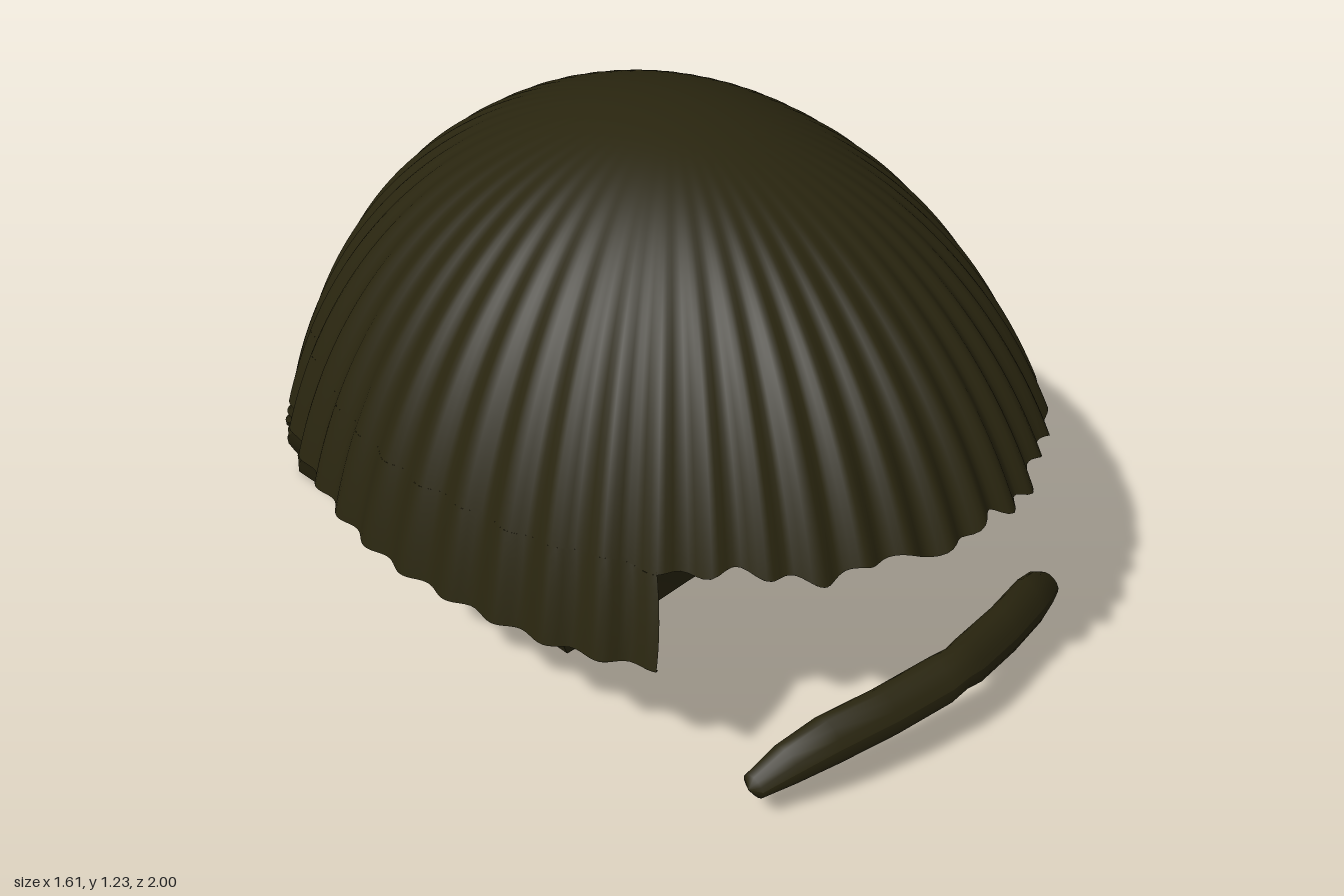
import * as THREE from 'three';

const A = 0.835, H = 1.23, B = 1.055, CZ = 0.05; // dome half-width, height, half-depth, centre z
const RIBS = 48, LEDGE = 0.38;
const { sin, cos, asin, acos, sqrt, PI } = Math;
const lerp = THREE.MathUtils.lerp;

// Point on the ribbed dome: t around from the front, p down from the crown
function dome(t, p) {
  const fade = THREE.MathUtils.smoothstep(sin(p), 0.1, 0.8);
  const r = sin(p) * (1 + fade * (0.012 * cos(RIBS * t) + 0.004 * sin(11 * t + 1)));
  return new THREE.Vector3(A * sin(t) * r, H * cos(p), CZ + B * cos(t) * r);
}
function domeNormal(t, p) {
  if (p < 0.01) return new THREE.Vector3(0, 1, 0);
  const e = 0.002;
  const dp = dome(t, p + e).sub(dome(t, p - e));
  const dt = dome(t + e, p).sub(dome(t - e, p));
  return dp.cross(dt).normalize();
}
const domeAt = (t, y) => dome(t, acos(y / H));

// Piecewise-linear lookup through [y, value] pairs
function lookup(pairs, y) {
  for (let i = 1; i < pairs.length; i++) {
    const [y0, a] = pairs[i - 1], [y1, b] = pairs[i];
    if (y <= y1 || i === pairs.length - 1) return lerp(a, b, Math.min(1, (y - y0) / (y1 - y0)));
  }
}
// Half-width of the opening and depth of its rear wall, by height
const openWidth = y => lookup([[0, 0.42], [0.1, 0.47], [0.24, 0.53], [0.33, 0.58], [0.38, 0.63], [0.6, 0.58]], y);
const wallDepth = y => lookup([[0, 0.15], [0.2, 0.2], [0.32, 0.25], [0.38, 0.3], [0.6, 0.36]], y);
const cutAngle = y => asin(openWidth(y) / (A * sqrt(1 - (y / H) ** 2)));
// Ragged lower edge of the fringe
const fringeY = t => 0.585 + Math.max(0, cos(t)) * (0.012 * sin(17 * t + 1) + 0.008 * sin(41 * t));

// Grid surface from f(u, v), returning a point or { pos, normal }
function grid(f, nu, nv) {
  const pos = [], nor = [], idx = [];
  for (let j = 0; j <= nv; j++) for (let i = 0; i <= nu; i++) {
    const q = f(i / nu, j / nv);
    pos.push(...(q.pos || q).toArray());
    if (q.normal) nor.push(...q.normal.toArray());
    if (i < nu && j < nv) {
      const a = j * (nu + 1) + i, b = a + nu + 1;
      idx.push(a, b, a + 1, a + 1, b, b + 1);
    }
  }
  const g = new THREE.BufferGeometry();
  g.setAttribute('position', new THREE.Float32BufferAttribute(pos, 3));
  g.setIndex(idx);
  if (nor.length) g.setAttribute('normal', new THREE.Float32BufferAttribute(nor, 3));
  else g.computeVertexNormals();
  return g;
}
const ruled = (a, b, n, m = 4) => grid((u, v) => a(u).lerp(b(u), v), n, m);

export function createModel() {
  const group = new THREE.Group();
  const darkOlive = new THREE.MeshStandardMaterial({ color: 0x29250f, side: THREE.DoubleSide });
  darkOlive.name = 'darkOlive';
  const add = (name, geometry) => {
    const m = new THREE.Mesh(geometry, darkOlive);
    m.name = name;
    group.add(m);
  };
  const V = (x, y, z) => new THREE.Vector3(x, y, z);
  const skin = (t, p) => ({ pos: dome(t, p), normal: domeNormal(t, p) });

  // Crown: full ring from the top down to the fringe
  add('crown', grid((u, v) => {
    const t = u * 2 * PI;
    return skin(t, v * acos(fringeY(t) / H));
  }, RIBS * 7, 40));

  // Side band, open at the front
  add('sideBand', grid((u, v) => {
    const yGuess = lerp(0.585, LEDGE, v), c = cutAngle(yGuess);
    const t = lerp(c, 2 * PI - c, u);
    return skin(t, acos(lerp(fringeY(t), LEDGE, v) / H));
  }, RIBS * 6, 8));

  // Nape: lower back between the side cuts
  add('nape', grid((u, v) => {
    const y = lerp(LEDGE, 0, v), c = cutAngle(y);
    return skin(lerp(PI - c, PI + c, u), acos(y / H));
  }, RIBS * 3, 14));

  // Uneven rear wall of the opening
  add('innerWall', grid((u, v) => {
    const y = v * 0.6, x = (u * 2 - 1) * openWidth(y);
    const edge = 1 - (u * 2 - 1) ** 2;
    return V(x, y, wallDepth(y) + 0.012 * edge * sin(x * 13 + y * 7) * sin(y * 17 + x * 4));
  }, 40, 20));

  // Underside of the fringe
  const cf = cutAngle(0.585);
  add('fringeUnderside', ruled(
    u => { const t = lerp(-cf, cf, u); return domeAt(t, fringeY(t)); },
    u => V(lerp(-1, 1, u) * openWidth(0.585), 0.585, wallDepth(0.585)), 100));

  // Flat underside of the nape
  const cb = cutAngle(0);
  add('napeUnderside', ruled(
    u => domeAt(lerp(PI - cb, PI + cb, u), 0),
    u => V(lerp(1, -1, u) * 0.42, 0, wallDepth(0)), 100));

  for (const s of [1, -1]) {
    const side = s > 0 ? 'left' : 'right';
    const cl = cutAngle(LEDGE);
    // Ledge under the side band
    add(side + 'Ledge', ruled(
      u => domeAt(s * lerp(cl, PI - cl, u), LEDGE),
      u => V(s * openWidth(LEDGE), LEDGE, domeAt(lerp(cl, PI - cl, u), LEDGE).z), 130));
    // Inner face of the lock in front of the ear
    add(side + 'LockInside', ruled(
      u => { const y = lerp(LEDGE, 0.585, u); return domeAt(s * cutAngle(y), y); },
      u => { const y = lerp(LEDGE, 0.585, u); return V(s * openWidth(y), y, wallDepth(y)); }, 8));
    // Flared side of the nape below the ledge
    add(side + 'NapeSide', ruled(
      u => { const y = u * LEDGE; return domeAt(s * (PI - cutAngle(y)), y); },
      u => { const y = u * LEDGE; return V(s * openWidth(y), y, wallDepth(y)); }, 14));
  }

  // Separate curved strip below the fringe: [x, y, z, half-height, half-depth]
  const half = [[0, 0.188, 0.945, 0.045, 0.038], [0.05, 0.182, 0.94, 0.05, 0.042], [0.2, 0.168, 0.915, 0.05, 0.042],
    [0.34, 0.152, 0.88, 0.05, 0.042], [0.43, 0.118, 0.845, 0.04, 0.038], [0.5, 0.085, 0.82, 0.024, 0.028],
    [0.513, 0.082, 0.818, 0.001, 0.001]];
  const rings = [...half.slice(1).reverse().map(([x, ...r]) => [-x, ...r]), ...half];
  add('lowerStrip', grid((u, v) => {
    const [x, y, z, ry, rz] = rings[Math.round(v * (rings.length - 1))];
    const a = u * 2 * PI;
    return V(x, y + ry * sin(a), z + rz * cos(a) - 0.3 * ry * sin(a));
  }, 14, rings.length - 1));

  return group;
}
